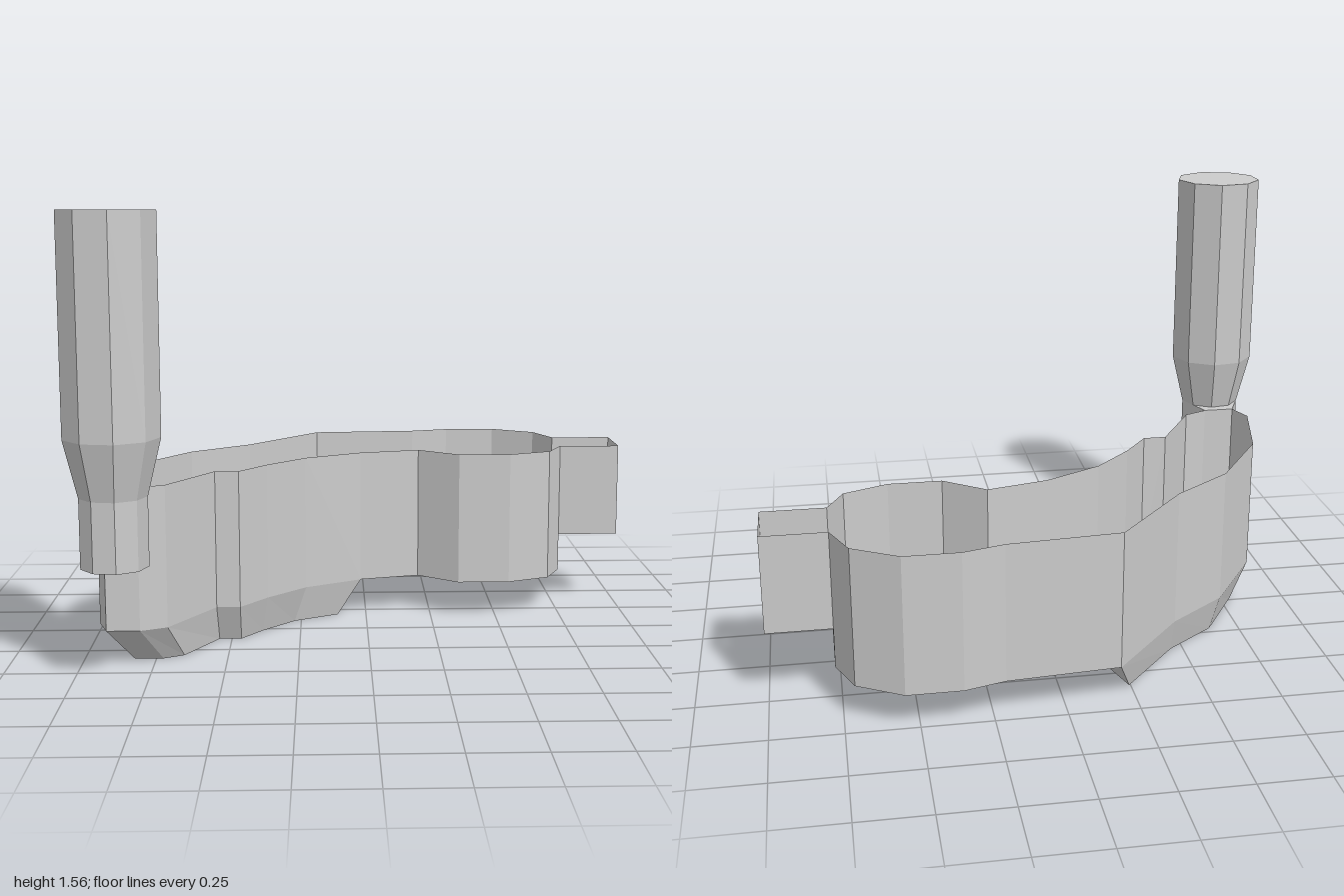
import * as THREE from 'three';

const material = new THREE.MeshStandardMaterial({ color: 0xcccccc, flatShading: true, side: THREE.DoubleSide });

const RIM = 0.635, SHELF = 0.135, SPOUT_FLOOR = 0.28;

// Plan outlines as [x, z]
const deepRim = [
  [-0.02, -0.2], [-0.23, -0.09], [-0.37, 0.05], [-0.465, 0.175], [-0.55, 0.175], [-0.7, 0.42], [-0.79, 0.46],
  [-0.905, 0.46], [-0.94, 0.365], [-0.865, 0.05], [-0.67, -0.24], [-0.455, -0.4], [-0.19, -0.7],
];
const deepFloor = [
  [-0.11, -0.185], [-0.275, -0.1], [-0.39, 0.02], [-0.465, 0.12], [-0.545, 0.12], [-0.655, 0.31], [-0.725, 0.345],
  [-0.825, 0.345], [-0.85, 0.27], [-0.79, 0.015], [-0.64, -0.22], [-0.455, -0.355], [-0.245, -0.59],
];
const shallowRim = [
  [-0.19, -0.7], [0.21, -0.73], [0.355, -0.77], [0.55, -0.77], [0.71, -0.68], [0.77, -0.54],
  [0.77, -0.33], [0.71, -0.21], [0.55, -0.145], [0.355, -0.145], [0.205, -0.255], [-0.02, -0.2],
];
const spoutPlan = [[0.77, -0.54], [1, -0.54], [1, -0.33], [0.77, -0.33]];

function add(group, name, geometry) {
  const mesh = new THREE.Mesh(geometry, material);
  mesh.name = name;
  group.add(mesh);
  return mesh;
}

// Band of quads between two matching outlines; outward for outlines running +x, then +z
function band(low, yLow, high, yHigh, closed = false) {
  const pos = [];
  const n = low.length;
  for (let i = 0; i < (closed ? n : n - 1); i++) {
    const j = (i + 1) % n;
    const a = [low[i][0], yLow, low[i][1]], b = [low[j][0], yLow, low[j][1]];
    const c = [high[j][0], yHigh, high[j][1]], d = [high[i][0], yHigh, high[i][1]];
    pos.push(...a, ...c, ...b, ...a, ...d, ...c);
  }
  const g = new THREE.BufferGeometry();
  g.setAttribute('position', new THREE.Float32BufferAttribute(pos, 3));
  g.computeVertexNormals();
  return g;
}

// Shape in the XY plane that becomes (x, z) after rotating about x
const planShape = (pts) => new THREE.Shape(pts.map(([x, z]) => new THREE.Vector2(x, -z)));

// Flat floor facing down
function floor(pts, y) {
  return new THREE.ShapeGeometry(planShape(pts)).rotateX(-Math.PI / 2).translate(0, y, 0);
}

function ring(cx, cz, r, sides) {
  return Array.from({ length: sides }, (_, i) => {
    const a = (i / sides) * Math.PI * 2;
    return [cx + r * Math.cos(a), cz + r * Math.sin(a)];
  });
}

export function createModel() {
  const group = new THREE.Group();
  group.name = 'openTrough';

  // Deep curved section with sloping lower sides
  const trough = new THREE.Group();
  trough.name = 'trough';
  group.add(trough);
  add(trough, 'deepWall', band(deepRim, SHELF, deepRim, RIM));
  add(trough, 'deepSlope', band(deepFloor, 0, deepRim, SHELF, true));
  add(trough, 'deepFloor', floor(deepFloor, 0));

  // Shallow rounded section, open to the spout above its sill
  add(trough, 'shallowWallBack', band(shallowRim.slice(0, 6), SHELF, shallowRim.slice(0, 6), RIM));
  add(trough, 'shallowWallFront', band(shallowRim.slice(6), SHELF, shallowRim.slice(6), RIM));
  add(trough, 'spoutSill', band(shallowRim.slice(5, 7), SHELF, shallowRim.slice(5, 7), SPOUT_FLOOR));
  add(trough, 'shallowFloor', floor(shallowRim, SHELF));

  // Square spout, open on top, with a small hole in its end
  const spout = new THREE.Group();
  spout.name = 'spout';
  group.add(spout);
  add(spout, 'spoutBackWall', band(spoutPlan.slice(0, 2), SPOUT_FLOOR, spoutPlan.slice(0, 2), RIM));
  add(spout, 'spoutFrontWall', band(spoutPlan.slice(2), SPOUT_FLOOR, spoutPlan.slice(2), RIM));
  add(spout, 'spoutFloor', floor(spoutPlan, SPOUT_FLOOR));
  const rect = (T, x0, y0, x1, y1) => new T([[x0, y0], [x1, y0], [x1, y1], [x0, y1]].map((p) => new THREE.Vector2(...p)));
  const end = rect(THREE.Shape, 0.33, SPOUT_FLOOR, 0.54, RIM);
  end.holes.push(rect(THREE.Path, 0.39, 0.445, 0.455, 0.515));
  add(spout, 'spoutEnd', new THREE.ShapeGeometry(end).rotateY(Math.PI / 2).translate(1, 0, 0));

  // Nine-sided upright handle
  const handle = new THREE.Group();
  handle.name = 'handle';
  group.add(handle);
  const cx = -0.847, cz = 0.607, sides = 9;
  const wide = ring(cx, cz, 0.161, sides), narrow = ring(cx, cz, 0.1135, sides);
  add(handle, 'handleTaper', band(narrow, RIM, wide, 0.83, true));
  add(handle, 'handleGrip', band(wide, 0.83, wide, 1.56, true));
  add(handle, 'handleCap', floor(wide, 1.56));

  // Handle foot, drawn back to meet the end wall of the trough
  const foot = [...narrow.slice(0, 6), [-0.905, 0.46], [-0.79, 0.46]];
  const footSolid = new THREE.ExtrudeGeometry(planShape(foot), { depth: RIM - 0.4, bevelEnabled: false });
  add(handle, 'handleFoot', footSolid.rotateX(-Math.PI / 2).translate(0, 0.4, 0));

  return group;
}
